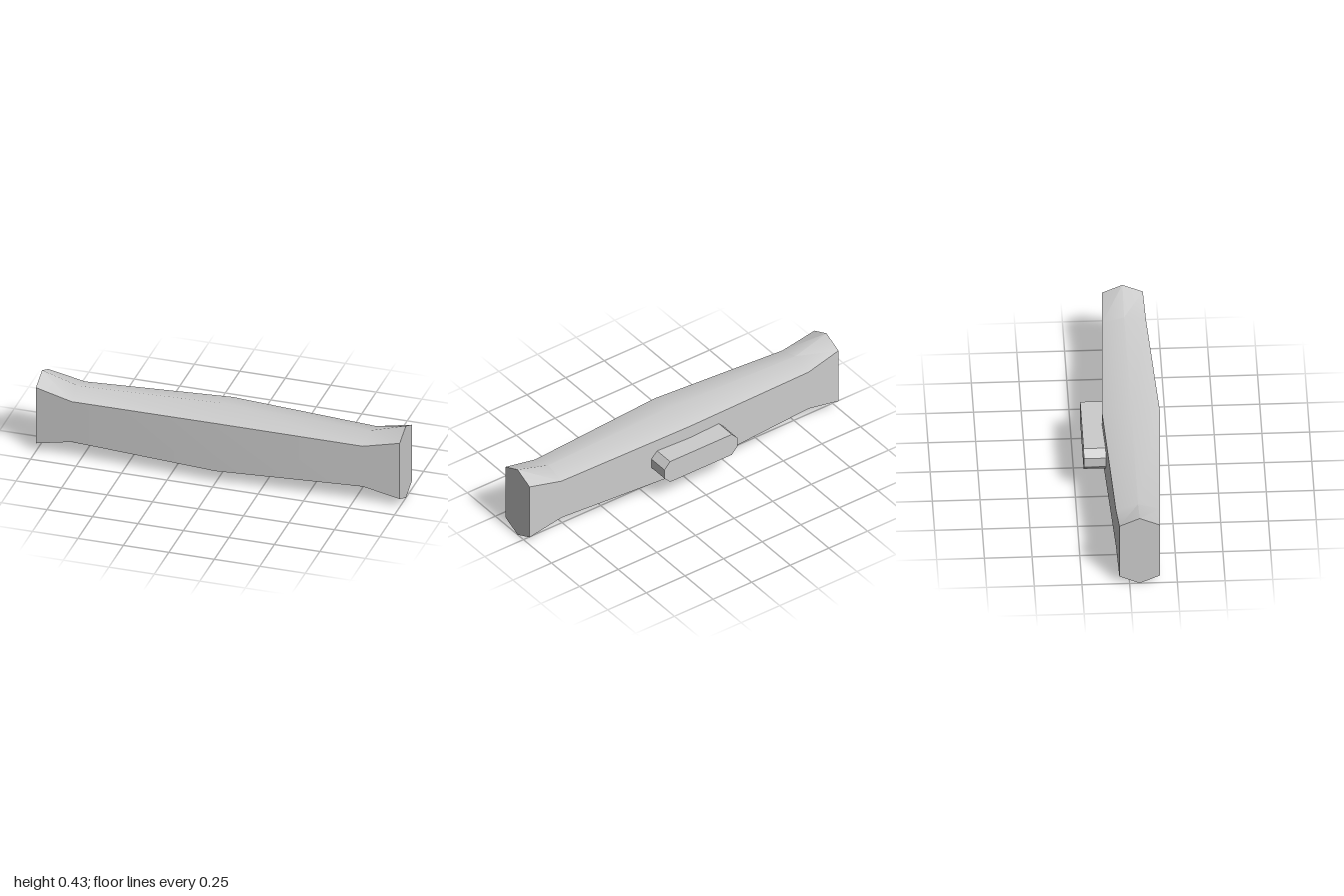
import * as THREE from 'three';
import { toCreasedNormals } from 'three/addons/utils/BufferGeometryUtils.js';

const CY = 0.217, CZ = 0.053;

// Lofts hexagonal cross-sections along x: [x, ridge half height, shoulder half height, half depth]
function loftBar(stations) {
  const positions = [], index = [];
  for (const [x, ridge, shoulder, depth] of stations) {
    const ring = [[ridge, 0], [shoulder, depth], [-shoulder, depth], [-ridge, 0], [-shoulder, -depth], [shoulder, -depth]];
    for (const [y, z] of ring) positions.push(x, CY + y, CZ + z);
  }
  const last = (stations.length - 1) * 6;
  for (let s = 0; s < last; s += 6) {
    for (let j = 0; j < 6; j++) {
      const a = s + j, b = s + (j + 1) % 6;
      index.push(a, b, b + 6, a, b + 6, a + 6);
    }
  }
  // End caps
  for (let j = 1; j < 5; j++) {
    index.push(0, j + 1, j);
    index.push(last, last + j, last + j + 1);
  }
  const geometry = new THREE.BufferGeometry();
  geometry.setAttribute('position', new THREE.Float32BufferAttribute(positions, 3));
  geometry.setIndex(index);
  return toCreasedNormals(geometry, THREE.MathUtils.degToRad(42));
}

export function createModel() {
  const group = new THREE.Group();
  const grey = new THREE.MeshStandardMaterial({ color: 0xcccccc });
  grey.name = 'light grey';

  // Main bar: swollen in the middle, waisted, flared at both ends
  const half = [[0.8, 0.154, 0.12, 0.116], [1, 0.214, 0.166, 0.107]];
  const mirrored = half.map(([x, ...rest]) => [-x, ...rest]).reverse();
  const bar = new THREE.Mesh(loftBar([...mirrored, [0, 0.183, 0.142, 0.152], ...half]), grey);
  bar.name = 'handleBar';
  group.add(bar);

  // Chamfered mounting block on the back
  const w = 0.236, wi = 0.2, h = 0.067, hi = 0.028;
  const outline = new THREE.Shape([
    [-wi, -h], [wi, -h], [w, -hi], [w, hi], [wi, h], [-wi, h], [-w, hi], [-w, -hi],
  ].map(([x, y]) => new THREE.Vector2(x, y)));
  const block = new THREE.Mesh(new THREE.ExtrudeGeometry(outline, { depth: 0.117, bevelEnabled: false }), grey);
  block.position.set(0, CY, -0.205);
  block.name = 'mountingBlock';
  group.add(block);

  return group;
}
